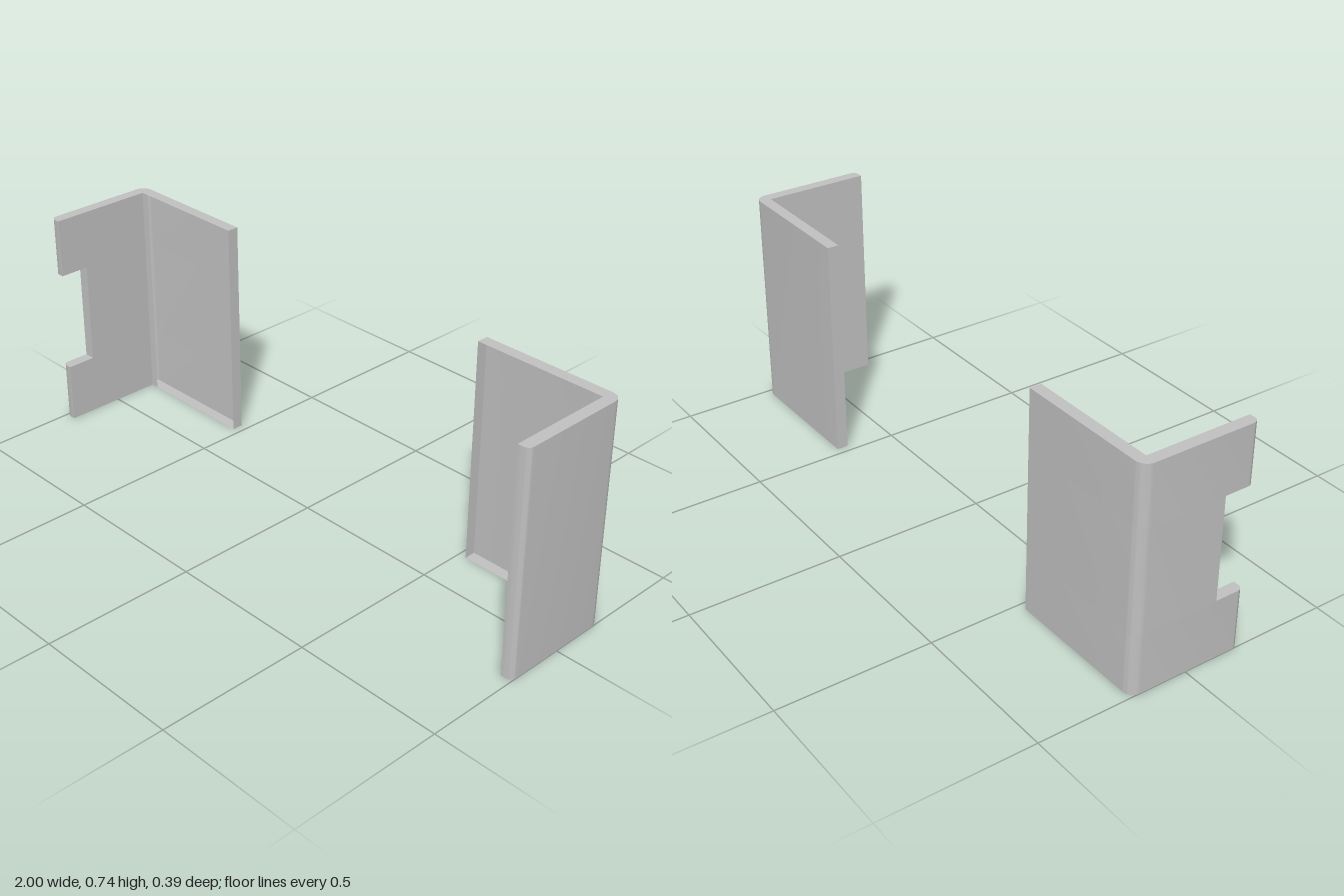
import * as THREE from 'three';
import { mergeGeometries, toCreasedNormals } from 'three/addons/utils/BufferGeometryUtils.js';

const HEIGHT = 0.735, OUT = 1, INNER = 0.962, END = 0.527, LIP = 0.935;
const BACK = -0.193, BACK_IN = -0.155, FRONT = 0.193;
const NOTCH_LOW = 0.2, NOTCH_HIGH = 0.54, NOTCH_Z = 0.095;

// quarter-round corner points, as [x, z]
function arc(cx, cz, r, start) {
  return Array.from({ length: 9 }, (_, i) => {
    const a = start + (i / 8) * Math.PI / 2;
    return [cx + r * Math.cos(a), cz + r * Math.sin(a)];
  });
}

const frontTip = [...arc(OUT - 0.02, FRONT - 0.02, 0.02, 0), [INNER, FRONT]];
const squareTip = [[OUT, NOTCH_Z], [INNER, NOTCH_Z]];

// L-shaped outline, open between the lip and the free end of the back plate
const outline = tip => [
  [END, BACK_IN], [END, BACK],
  ...arc(OUT - 0.035, BACK + 0.035, 0.035, -Math.PI / 2),
  ...tip, [INNER, BACK_IN], [LIP, BACK_IN],
];

// vertical sheet following an outline
function wall(points, y0, y1, side) {
  const pos = [];
  for (let i = 0; i < points.length - 1; i++) {
    const [ax, az] = points[i], [bx, bz] = points[i + 1];
    const a = [ax * side, y0, az], b = [bx * side, y0, bz];
    const c = [ax * side, y1, az], d = [bx * side, y1, bz];
    const tris = side > 0 ? [a, c, b, b, c, d] : [a, b, c, b, d, c];
    pos.push(...tris.flat());
  }
  const g = new THREE.BufferGeometry();
  g.setAttribute('position', new THREE.Float32BufferAttribute(pos, 3));
  return toCreasedNormals(g, 0.6);
}

// horizontal cap filling an outline, facing up or down
function cap(points, y, side, up) {
  const dir = up ? -1 : 1;
  const shape = new THREE.Shape(points.map(([x, z]) => new THREE.Vector2(x * side, z * dir)));
  const g = new THREE.ShapeGeometry(shape).rotateX(dir * Math.PI / 2).translate(0, y, 0).toNonIndexed();
  g.deleteAttribute('uv');
  return g;
}

function bracket(side, notched, material, name) {
  const full = outline(frontTip);
  const parts = [cap(full, 0, side, false), cap(full, HEIGHT, side, true)];
  if (notched) {
    // rectangular cut in the front edge of the flange
    const ledge = [[INNER, NOTCH_Z], [OUT, NOTCH_Z], ...frontTip];
    parts.push(
      wall(full, 0, NOTCH_LOW, side),
      wall(outline(squareTip), NOTCH_LOW, NOTCH_HIGH, side),
      wall(full, NOTCH_HIGH, HEIGHT, side),
      cap(ledge, NOTCH_LOW, side, true),
      cap(ledge, NOTCH_HIGH, side, false));
  } else {
    parts.push(wall(full, 0, HEIGHT, side));
  }
  const mesh = new THREE.Mesh(mergeGeometries(parts), material);
  mesh.name = name;
  return mesh;
}

export function createModel() {
  const grey = new THREE.MeshStandardMaterial({ color: 0xc0c0c0, side: THREE.DoubleSide });
  grey.name = 'light grey';
  const group = new THREE.Group();
  group.name = 'cornerBrackets';
  group.add(bracket(1, false, grey, 'leftBracket'), bracket(-1, true, grey, 'rightNotchedBracket'));
  return group;
}
